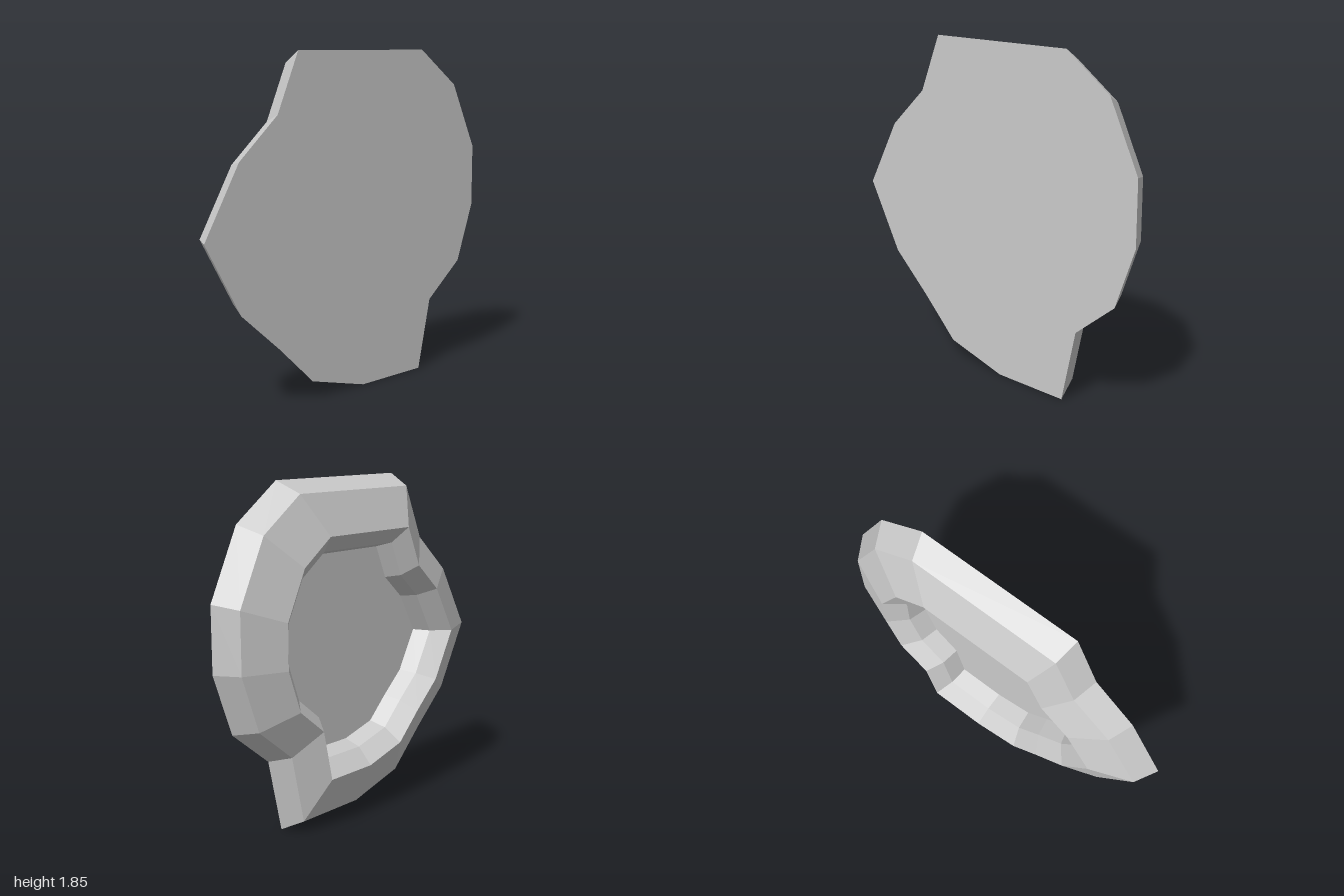
import * as THREE from 'three';

// Outline of the basin, clockwise seen from the front
const OUTLINE = [
  [-0.39, 1.85], [0.54, 1.85], [0.82, 1.65], [1, 1.28], [1, 0.93],
  [0.88, 0.6], [0.63, 0.4], [0.54, 0], [0.08, 0], [-0.3, 0.1],
  [-0.53, 0.32], [-0.78, 0.54], [-1, 0.93], [-0.78, 1.31], [-0.53, 1.53],
];
const CENTRE_Y = 0.925;

// Join scaled copies of the outline; each ring is [scale, z]
function loft(name, rings, material) {
  const positions = [];
  const point = ([scale, z], j) => {
    const [x, y] = OUTLINE[j % OUTLINE.length];
    return [x * scale, CENTRE_Y + (y - CENTRE_Y) * scale, z];
  };
  for (let i = 0; i < rings.length - 1; i++) {
    const [r0, r1] = [rings[i], rings[i + 1]];
    for (let j = 0; j < OUTLINE.length; j++) {
      const a = point(r0, j), b = point(r0, j + 1);
      const c = point(r1, j + 1), d = point(r1, j);
      if (r0[0] > 0) positions.push(...a, ...b, ...c);
      if (r1[0] > 0) positions.push(...a, ...c, ...d);
    }
  }
  const geometry = new THREE.BufferGeometry();
  geometry.setAttribute('position', new THREE.Float32BufferAttribute(positions, 3));
  geometry.computeVertexNormals();
  const mesh = new THREE.Mesh(geometry, material);
  mesh.name = name;
  return mesh;
}

export function createModel() {
  const group = new THREE.Group();
  group.name = 'rockRimmedBasin';
  const material = new THREE.MeshStandardMaterial({ color: 0xcccccc, flatShading: true });

  // Flat underside facing the front
  group.add(loft('base', [[0, 0.11], [1, 0.11]], material));
  // Bevelled outer slope, crest and inner walls
  group.add(loft('rim', [[1, 0.11], [0.93, -0.02], [0.695, -0.11], [0.6, -0.02], [0.57, 0.08]], material));
  // Recessed floor facing the back
  group.add(loft('floor', [[0.57, 0.08], [0, 0.08]], material));

  return group;
}
